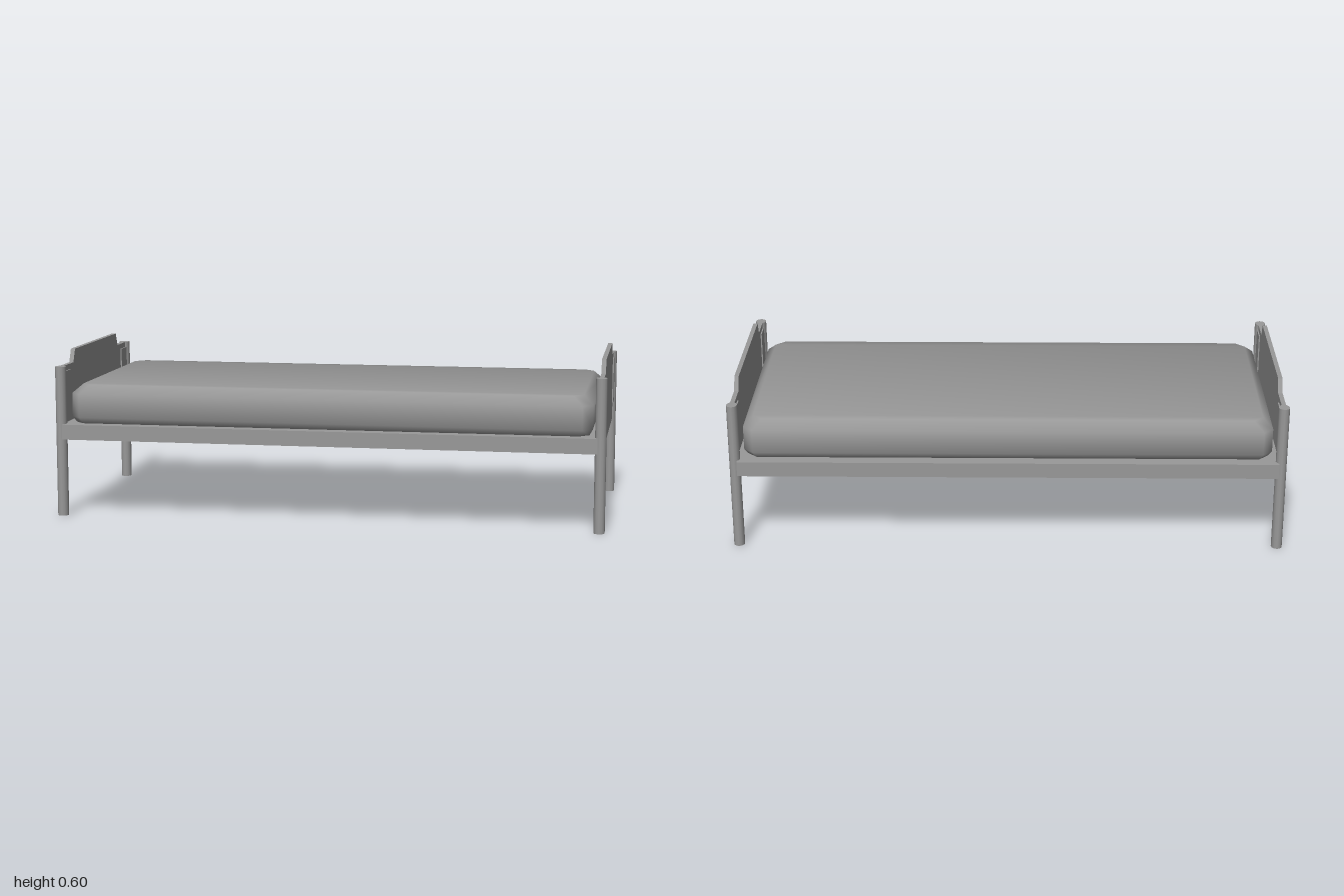
import * as THREE from 'three';

const grey = new THREE.MeshStandardMaterial({ color: 0x999999 });

function addMesh(parent, name, geometry, x = 0, y = 0, z = 0) {
  const mesh = new THREE.Mesh(geometry, grey);
  mesh.name = name;
  mesh.position.set(x, y, z);
  parent.add(mesh);
  return mesh;
}

// Soft box lofted from chamfered rectangles, each level given as
// [height, inset, upward lean of the soft normals]
function mattressGeometry(halfX, halfZ, corner, levels) {
  const points = [];
  const normals = [];
  const index = [];
  const n = 8;
  const quad = (a, b, c, d) => index.push(a, b, c, a, c, d);
  for (const [y, inset, lean] of levels) {
    const a = halfX - inset, b = halfZ - inset, c = corner;
    const loop = [
      [a, b - c], [a - c, b], [c - a, b], [-a, b - c],
      [-a, c - b], [c - a, -b], [a - c, -b], [a, c - b],
    ];
    for (const [x, z] of loop) {
      const onEnd = Math.abs(x) === a;
      const normal = new THREE.Vector3(
        Math.sign(x) * (onEnd ? 0.92 : 0.38), lean, Math.sign(z) * (onEnd ? 0.38 : 0.92)).normalize();
      points.push(x, y, z);
      normals.push(normal.x, normal.y, normal.z);
    }
  }
  for (let k = 0; k < levels.length - 1; k++) {
    for (let i = 0; i < n; i++) {
      const p = k * n + i, q = k * n + (i + 1) % n;
      quad(p, p + n, q + n, q);
    }
  }
  // Top and bottom closed by three strips running along the bed
  const top = (levels.length - 1) * n;
  for (const [a, b, c, d] of [[1, 0, 3, 2], [0, 7, 4, 3], [7, 6, 5, 4]]) {
    quad(top + a, top + b, top + c, top + d);
    quad(d, c, b, a);
  }
  const geometry = new THREE.BufferGeometry();
  geometry.setAttribute('position', new THREE.Float32BufferAttribute(points, 3));
  geometry.setAttribute('normal', new THREE.Float32BufferAttribute(normals, 3));
  geometry.setIndex(index);
  return geometry;
}

// End board outline with a raised middle, drawn across the width of the bed
function endBoardGeometry(thickness) {
  const half = [[0.41, 0.34], [0.41, 0.55], [0.29, 0.55], [0.267, 0.598]];
  const outline = [...half, ...half.map(([z, y]) => [-z, y]).reverse()];
  const shape = new THREE.Shape(outline.map(([z, y]) => new THREE.Vector2(z, y)));
  const geometry = new THREE.ExtrudeGeometry(shape, { depth: thickness, bevelEnabled: false });
  geometry.translate(0, 0, -thickness / 2);
  geometry.rotateY(Math.PI / 2);
  return geometry;
}

export function createModel() {
  const bed = new THREE.Group();
  bed.name = 'bed';

  // Rail frame, open in the middle
  const frame = new THREE.Group();
  frame.name = 'frame';
  bed.add(frame);
  for (const s of [-1, 1]) {
    addMesh(frame, 'sideRail', new THREE.BoxGeometry(1.94, 0.055, 0.04), 0, 0.3125, s * 0.43);
    addMesh(frame, 'endRail', new THREE.BoxGeometry(0.056, 0.055, 0.82), s * 0.958, 0.3125, 0);
  }
  // Base panel recessed from below
  addMesh(frame, 'basePanel', new THREE.BoxGeometry(1.86, 0.02, 0.82), 0, 0.33, 0);

  addMesh(bed, 'mattress', mattressGeometry(0.95, 0.415, 0.035,
    [[0.34, 0.012, -1.2], [0.362, 0, -0.3], [0.448, 0, 0.4], [0.48, 0.034, 1.8]]));

  // Both ends: board, posts and the blocks joining them
  for (const s of [-1, 1]) {
    const end = new THREE.Group();
    end.name = s < 0 ? 'headEnd' : 'footEnd';
    bed.add(end);
    addMesh(end, 'endBoard', endBoardGeometry(0.016), s * 0.98, 0, 0);
    for (const t of [-1, 1]) {
      const post = addMesh(end, 'post', new THREE.CylinderGeometry(0.02, 0.02, 0.55, 12), s * 0.98, 0.275, t * 0.419);
      post.scale.z = 1.15;
      addMesh(end, 'joiningBlock', new THREE.BoxGeometry(0.025, 0.17, 0.08), s * 0.98, 0.445, t * 0.37);
    }
  }
  return bed;
}
